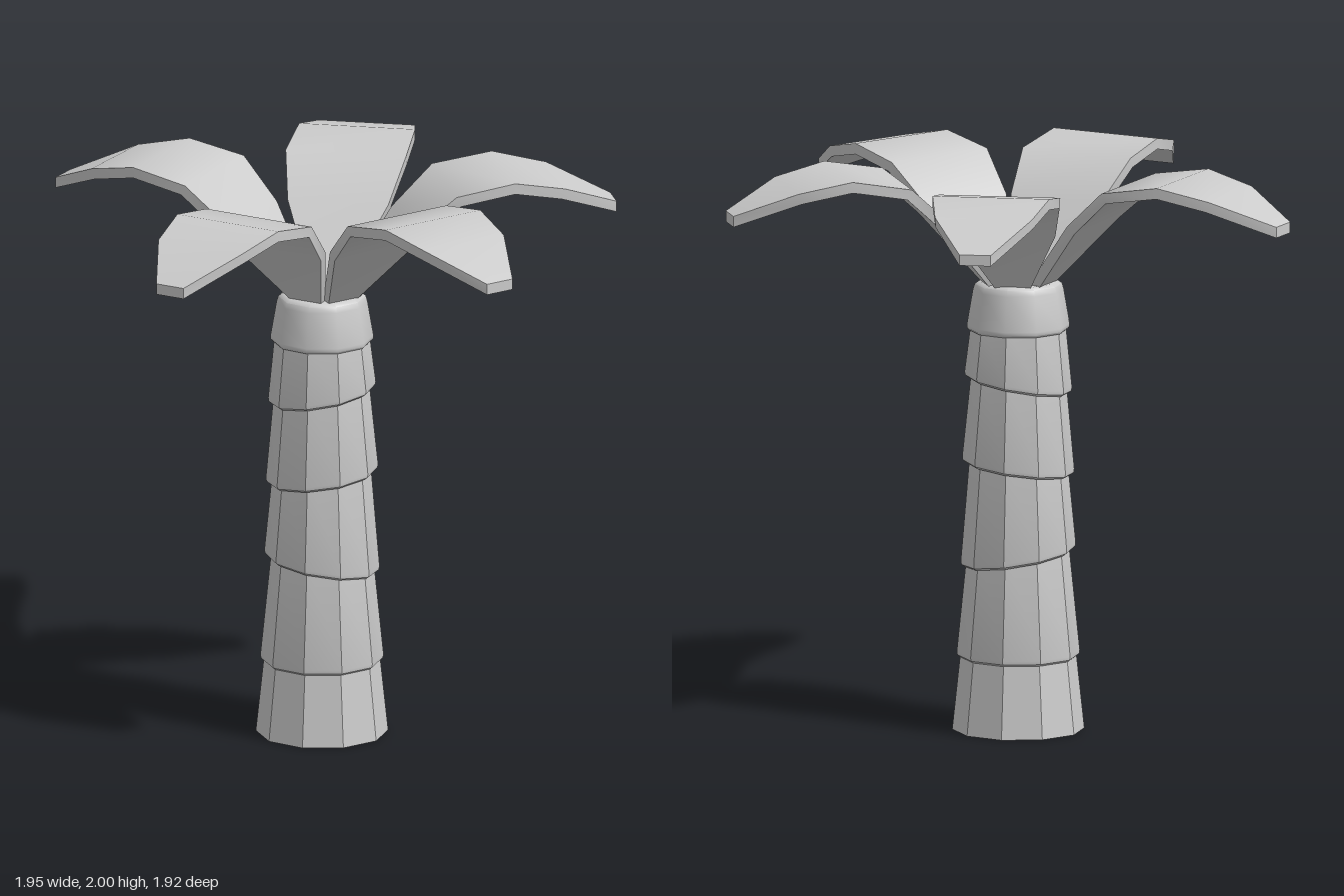
import * as THREE from 'three';
import { toCreasedNormals } from 'three/addons/utils/BufferGeometryUtils.js';

const SIDES = 10;
const material = new THREE.MeshStandardMaterial({ color: 0xcccccc, side: THREE.DoubleSide });

// Faceted trunk ring from a profile; the lower rim is tilted by a shear along x
function trunkRing(name, profile, tilt, crease) {
  const geo = new THREE.LatheGeometry(profile.map(([r, y]) => new THREE.Vector2(r, y)), SIDES, Math.PI / 2);
  const pos = geo.attributes.position;
  const y0 = profile[0][1];
  const height = profile[profile.length - 1][1] - y0;
  for (let i = 0; i < pos.count; i++) {
    const t = (pos.getY(i) - y0) / height;
    pos.setY(i, pos.getY(i) + tilt * pos.getX(i) * (1 - t));
  }
  const mesh = new THREE.Mesh(toCreasedNormals(geo, crease), material);
  mesh.name = name;
  return mesh;
}

// Overlapping bark ring with a rounded lower lip
function barkRing(index, bottom, top, rBottom, rTop, tilt) {
  const profile = [
    [rBottom - 0.05, bottom], [rBottom - 0.012, bottom], [rBottom - 0.002, bottom + 0.008],
    [rBottom, bottom + 0.02], [rTop, top],
  ];
  return trunkRing('barkRing' + index, profile, tilt, 0.55);
}

// Arched leaf slab: stations of [distance out, top height, half width]
const STATIONS = [
  [0.05, 1.56, 0.04], [0.28, 1.83, 0.178], [0.43, 1.965, 0.213],
  [0.64, 2.0, 0.205], [0.825, 1.96, 0.17], [1.03, 1.87, 0.055],
];

function leafGeometry() {
  const thickness = 0.038;
  const verts = [];
  const index = [];
  const last = STATIONS.length - 1;
  STATIONS.forEach(([u, y, w], i) => {
    const a = STATIONS[Math.max(i - 1, 0)];
    const b = STATIONS[Math.min(i + 1, last)];
    const slope = Math.atan2(b[1] - a[1], b[0] - a[0]);
    // underside is offset along the curve normal; the tip is cut upright
    const du = i === last ? 0 : Math.sin(slope) * thickness;
    const dy = i === last ? thickness : Math.cos(slope) * thickness;
    verts.push(u, y, -w, u, y, w, u + du, y - dy, w, u + du, y - dy, -w);
    if (i === last) return;
    for (let k = 0; k < 4; k++) {
      const p = i * 4 + k;
      const q = i * 4 + (k + 1) % 4;
      index.push(p, q, q + 4, p, q + 4, p + 4);
    }
  });
  const e = last * 4;
  index.push(0, 3, 2, 0, 2, 1, e, e + 1, e + 2, e, e + 2, e + 3);
  const geo = new THREE.BufferGeometry();
  geo.setAttribute('position', new THREE.Float32BufferAttribute(verts, 3));
  geo.setIndex(index);
  return toCreasedNormals(geo, 0.8);
}

export function createModel() {
  const model = new THREE.Group();
  model.name = 'palmTree';

  // Trunk
  const trunk = new THREE.Group();
  trunk.name = 'trunk';
  trunk.add(trunkRing('trunkBase', [[0.23, 0], [0.198, 0.3]], 0, 0.55));
  const rings = [
    [0.255, 0.66, 0.214, 0.175, 0],
    [0.605, 0.98, 0.2, 0.168, -0.16],
    [0.92, 1.28, 0.195, 0.162, 0.13],
    [1.215, 1.45, 0.187, 0.163, 0.17],
  ];
  rings.forEach((r, i) => trunk.add(barkRing(i + 1, ...r)));
  trunk.add(trunkRing('trunkCrown', [
    [0.13, 1.412], [0.172, 1.412], [0.179, 1.42], [0.179, 1.432],
    [0.158, 1.555], [0.152, 1.575], [0.138, 1.585], [0, 1.585],
  ], 0, 0.75));
  model.add(trunk);

  // Leaves, at uneven angles seen from above
  const leaves = new THREE.Group();
  leaves.name = 'leaves';
  const geo = leafGeometry();
  [-78.5, -10.7, 54.3, 122, 209.5].forEach((deg, i) => {
    const leaf = new THREE.Mesh(geo, material);
    leaf.name = 'leaf' + (i + 1);
    leaf.rotation.y = -THREE.MathUtils.degToRad(deg);
    leaves.add(leaf);
  });
  model.add(leaves);

  trunk.position.set(-0.06, 0, 0.07);
  leaves.position.set(-0.056, 0, 0.064);
  return model;
}
